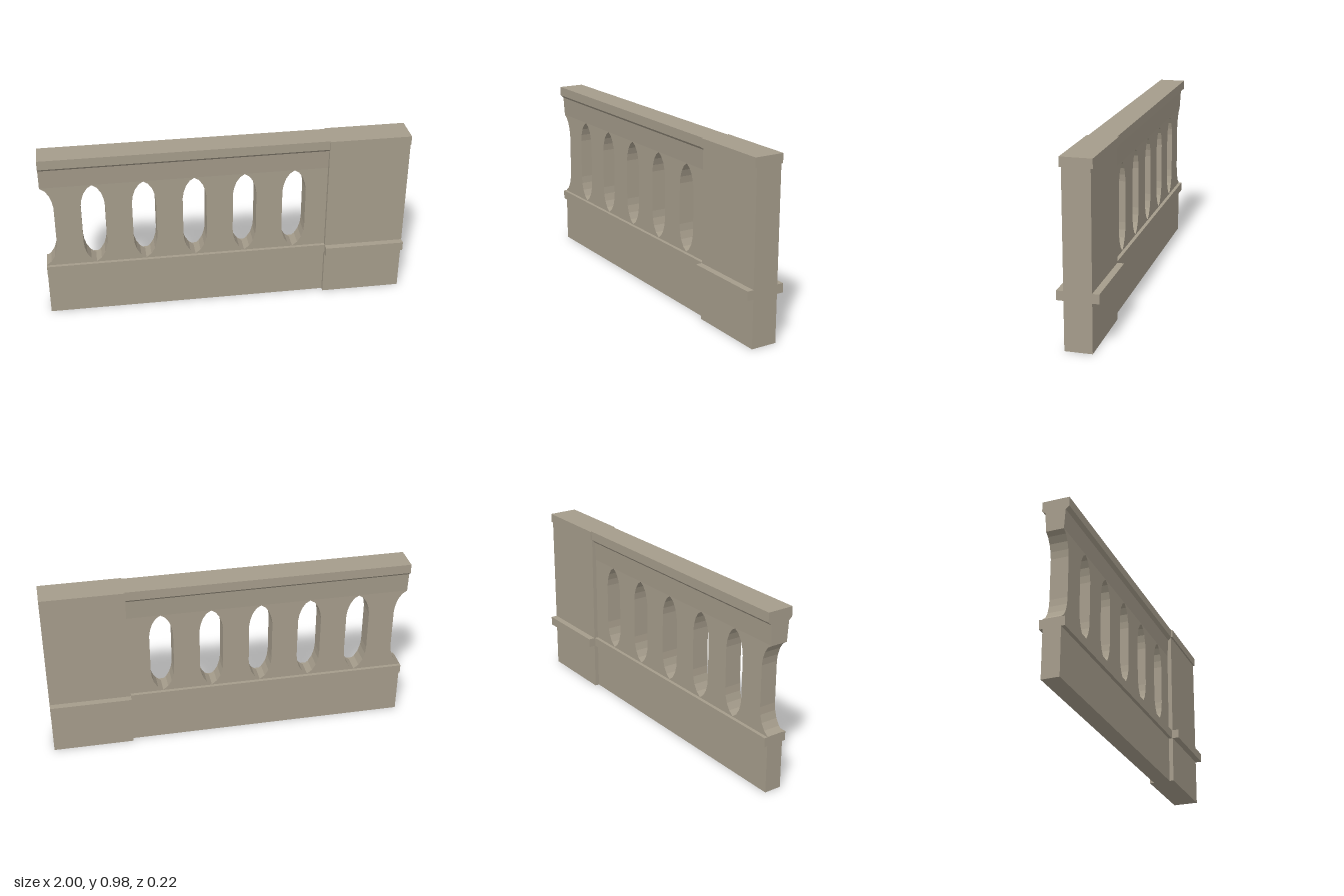
import * as THREE from 'three';

export function createModel() {
  const stone = new THREE.MeshStandardMaterial({ color: 0xa59c8b });
  stone.name = 'stone';
  const model = new THREE.Group();
  model.name = 'balustrade';

  const add = (name, geometry) => {
    const mesh = new THREE.Mesh(geometry, stone);
    mesh.name = name;
    model.add(mesh);
  };

  // Symmetric profile of [half depth, y] points, swept along x
  const sweep = (name, half, x0, x1) => {
    const mirrored = half.map(([z, y]) => [-z, y]).reverse();
    const shape = new THREE.Shape([...half, ...mirrored].map(([z, y]) => new THREE.Vector2(z, y)));
    const geometry = new THREE.ExtrudeGeometry(shape, { depth: x1 - x0, bevelEnabled: false });
    geometry.rotateY(Math.PI / 2).translate(x0, 0, 0);
    add(name, geometry);
  };
  const block = (name, half, y0, y1, x0, x1) =>
    sweep(name, [[half, y0], [half, y1]], x0, x1);

  const pierStart = 0.555;
  const wallHalf = 0.048;

  // Right half of a pointed opening, from the bottom tip to the top tip
  const openingSide = [
    [0, 0.314], [0.028, 0.336], [0.049, 0.37], [0.061, 0.41], [0.065, 0.45],
    [0.065, 0.675], [0.059, 0.713], [0.046, 0.751], [0.025, 0.782], [0, 0.798],
  ];

  // Pierced wall with a half opening at its free end
  const wall = new THREE.Shape();
  wall.moveTo(-1, 0);
  wall.lineTo(0.6, 0);
  wall.lineTo(0.6, 0.8);
  wall.lineTo(-1, 0.8);
  [...openingSide].reverse().forEach(([x, y]) => wall.lineTo(x - 1, y));
  for (let i = 1; i <= 5; i++) {
    const cx = -1 + i * 0.2742;
    const right = openingSide.map(([x, y]) => new THREE.Vector2(cx + x, y));
    const left = openingSide.slice(1, -1).reverse().map(([x, y]) => new THREE.Vector2(cx - x, y));
    wall.holes.push(new THREE.Path([...right, ...left]));
  }
  const wallGeometry = new THREE.ExtrudeGeometry(wall, { depth: wallHalf * 2, bevelEnabled: false });
  wallGeometry.translate(0, 0, -wallHalf);
  add('piercedWall', wallGeometry);

  // Flared frieze and handrail above the openings
  sweep('handrail', [
    [wallHalf, 0.8], [0.055, 0.907], [0.0735, 0.924], [0.0735, 0.975],
  ], -1, 0.64);
  block('wallBand', 0.067, 0.262, 0.312, -1, 0.6);

  // End pier with its cap and band
  block('pier', 0.072, 0, 0.925, pierStart, 1);
  block('pierCap', 0.082, 0.925, 0.975, pierStart, 1);
  block('pierBand', 0.108, 0.262, 0.312, pierStart, 1);

  return model;
}
